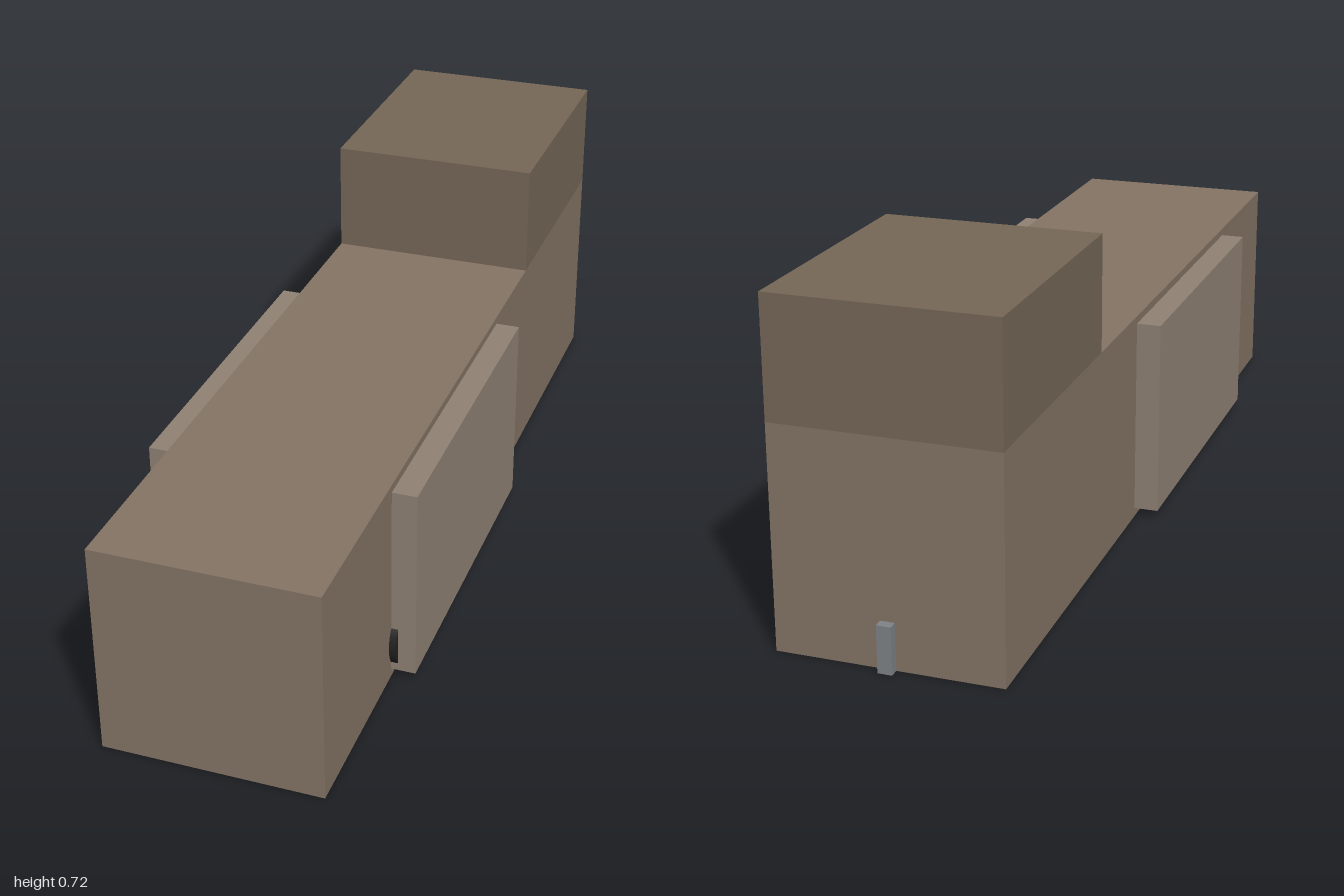
import * as THREE from 'three';

const paint = (color) => new THREE.MeshStandardMaterial({ color });

// Box given by its min and max corners
function block(name, min, max, material) {
  const size = max.map((v, i) => v - min[i]);
  const mesh = new THREE.Mesh(new THREE.BoxGeometry(...size), material);
  mesh.position.set(...max.map((v, i) => (v + min[i]) / 2));
  mesh.name = name;
  return mesh;
}

export function createModel() {
  const model = new THREE.Group();
  model.name = 'vehicle';
  const bodyPaint = paint(0x857566);
  const cabPaint = paint(0x766858);
  const panelPaint = paint(0x918375);
  const rubber = paint(0x222222);
  const metal = paint(0x808488);

  // Long hull with the raised block at the rear
  model.add(block('hull', [-0.235, 0, -0.98], [0.235, 0.47, 1], bodyPaint));
  model.add(block('rearCabin', [-0.235, 0.47, -0.98], [0.235, 0.722, -0.405], cabPaint));

  // Small upright bar on the back
  model.add(block('rearBar', [-0.015, 0, -1], [0.015, 0.1, -0.98], metal));

  // Side panels with two wheels tucked behind each
  const wheelGeometry = new THREE.CylinderGeometry(0.07, 0.07, 0.05, 32).rotateZ(Math.PI / 2);
  for (const [side, s] of [['left', 1], ['right', -1]]) {
    const panel = block(side + 'Panel', [0.235, 0.02, -0.15], [0.288, 0.453, 0.605], panelPaint);
    panel.position.x *= s;
    model.add(panel);
    for (const [end, z] of [['Front', 0.55], ['Middle', 0.23]]) {
      const wheel = new THREE.Mesh(wheelGeometry, rubber);
      wheel.position.set(s * 0.225, 0.08, z);
      wheel.name = side + end + 'Wheel';
      model.add(wheel);
    }
  }
  return model;
}
